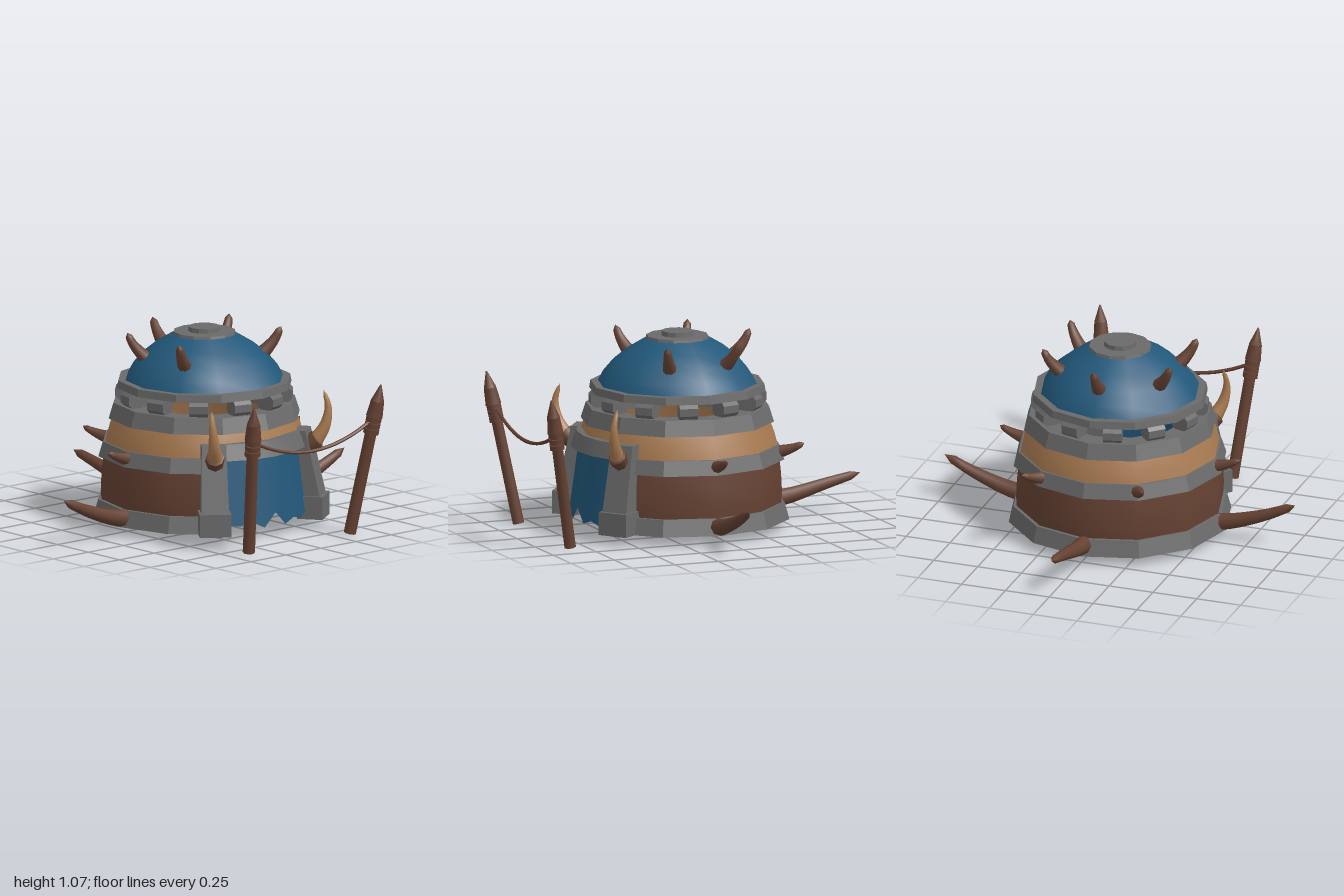
import * as THREE from 'three';
import { toCreasedNormals } from 'three/addons/utils/BufferGeometryUtils.js';

const mat = (name, color, side = THREE.DoubleSide) => {
  const m = new THREE.MeshStandardMaterial({ color, side });
  m.name = name;
  return m;
};
const V = (x, y, z) => new THREE.Vector3(x, y, z);
const DEG = Math.PI / 180;

export function createModel() {
  const stone = mat('grey stone', 0x6a6a6a);
  const blue = mat('blue cloth', 0x22587a);
  const wood = mat('brown wood', 0x664233);
  const tan = mat('tan hide', 0xa87a50);

  const model = new THREE.Group();
  model.name = 'hut';
  const hut = new THREE.Group();
  hut.name = 'hutParts';
  hut.position.set(-0.0125, 0, 0.066);
  model.add(hut);

  const add = (name, geo, material, parent = hut, crease = 0.4) => {
    const m = new THREE.Mesh(toCreasedNormals(geo, crease), material);
    m.name = name;
    parent.add(m);
    return m;
  };

  // Twelve-sided ring; door = true leaves the front two segments open
  const ring = (name, profile, material, door, crease) => {
    const pts = profile.map(([r, y]) => new THREE.Vector2(r, y));
    const geo = door
      ? new THREE.LatheGeometry(pts, 10, 30 * DEG, 300 * DEG)
      : new THREE.LatheGeometry(pts, 12);
    return add(name, geo, material, hut, crease);
  };
  const band = (r0, r1, y0, y1, inner) =>
    [[r0, y0], [r1, y1], [inner, y1], [inner, y0], [r0, y0]];

  // Tapered curved horn: a tube whose rings shrink towards a blunt tip
  const horn = (name, points, r0, r1, material, segs = 10) => {
    const curve = new THREE.CatmullRomCurve3(points);
    const geo = new THREE.TubeGeometry(curve, segs, 1, 8);
    const pos = geo.attributes.position;
    const p = new THREE.Vector3();
    for (let i = 0; i <= segs; i++) {
      const c = curve.getPointAt(i / segs);
      const r = i === segs ? 0.0005 : r0 + (r1 - r0) * (i / (segs - 1));
      for (let j = 0; j <= 8; j++) {
        const k = i * 9 + j;
        p.fromBufferAttribute(pos, k).sub(c).multiplyScalar(r).add(c);
        pos.setXYZ(k, p.x, p.y, p.z);
      }
    }
    return add(name, geo, material, hut, 0.9);
  };
  // Horn in a vertical plane at an angle round the hut, given [radius, y] pairs
  const radialHorn = (name, deg, path, r0, r1) =>
    horn(name, path.map(([r, y]) => V(Math.sin(deg * DEG) * r, y, Math.cos(deg * DEG) * r)), r0, r1, wood);

  // Walls and stone bands
  ring('baseBand', band(0.605, 0.58, 0.05, 0.14, 0.535), stone, true);
  ring('lowerWall', [[0.56, 0.12], [0.565, 0.2], [0.56, 0.3], [0.55, 0.39]], wood, true, 0.8);
  ring('middleBand', band(0.578, 0.552, 0.375, 0.455, 0.52), stone, true);
  ring('upperWall', [[0.545, 0.44], [0.525, 0.52], [0.495, 0.6]], tan, false, 0.8);
  ring('upperBand', band(0.522, 0.495, 0.58, 0.665, 0.39), stone);

  // Stubby blocks that carry the roof
  for (let i = 0; i < 12; i++) {
    const a = (15 + 30 * i) * DEG;
    const geo = new THREE.CylinderGeometry(0.054, 0.054, 0.1, 8);
    geo.rotateY(Math.PI / 8).rotateZ(Math.PI / 2);
    const block = add('roofBlock', geo, stone);
    block.position.set(Math.sin(a) * 0.425, 0.705, Math.cos(a) * 0.425);
    block.rotation.y = a;
  }

  // Roof
  ring('roofRim', band(0.477, 0.47, 0.745, 0.785, 0.4), stone);
  ring('dome', [[0.435, 0.775], [0.4, 0.84], [0.345, 0.905], [0.265, 0.97], [0.165, 1.03]], blue, false, 1);
  add('roofCap', new THREE.CylinderGeometry(0.167, 0.172, 0.018, 12), stone).position.y = 1.032;
  add('roofKnob', new THREE.CylinderGeometry(0.085, 0.088, 0.03, 12), stone).position.y = 1.05;
  for (const deg of [60, 120, 180, 240, 300])
    radialHorn('roofSpike', deg, [[0.28, 0.87], [0.345, 0.93], [0.39, 0.985], [0.42, 1.045]], 0.046, 0.02);

  // Small spikes on the middle band
  for (const deg of [90, 150, 210, 270])
    radialHorn('wallSpike', deg, [[0.5, 0.405], [0.58, 0.425], [0.64, 0.446], [0.685, 0.468]], 0.044, 0.016);

  // Large ground horns
  for (const deg of [90, 270])
    radialHorn('groundHorn', deg, [[0.52, 0.085], [0.65, 0.11], [0.84, 0.175], [1.0, 0.25]], 0.052, 0.024);
  radialHorn('backHorn', 180, [[0.5, 0.095], [0.65, 0.115], [0.86, 0.165], [1.06, 0.21]], 0.052, 0.024);

  // Door lintel following the wall
  const lintelProfile = band(0.575, 0.545, 0.445, 0.53, 0.46).map(([r, y]) => new THREE.Vector2(r, y));
  add('doorLintel', new THREE.LatheGeometry(lintelProfile, 4, -32 * DEG, 64 * DEG), stone);

  // Ragged door curtain
  const hem = [0.095, 0.085, 0.1, 0.065, 0.14, 0.065, 0.09, 0.07, 0.1];
  const cloth = new THREE.PlaneGeometry(1, 1, 8, 3);
  const cp = cloth.attributes.position;
  for (let i = 0; i < cp.count; i++) {
    const u = cp.getX(i) + 0.5, t = 0.5 - cp.getY(i);
    const a = (u - 0.5) * 58 * DEG;
    const r = 0.53 + 0.05 * t;
    cp.setXYZ(i, Math.sin(a) * r, 0.46 + (hem[Math.round(u * 8)] - 0.46) * t, Math.cos(a) * r);
  }
  add('doorCurtain', cloth, blue, hut, 0.6);

  for (const s of [-1, 1]) {
    // Door post with its foot
    const post = new THREE.Group();
    post.name = s > 0 ? 'leftDoorPost' : 'rightDoorPost';
    post.rotation.y = s * 36 * DEG;
    hut.add(post);
    add('postFoot', new THREE.BoxGeometry(0.17, 0.125, 0.14), stone, post).position.set(0, 0.113, 0.6);
    const shaft = new THREE.BoxGeometry(0.15, 0.4, 0.11);
    const sp = shaft.attributes.position;
    for (let i = 0; i < sp.count; i++) {
      const t = sp.getY(i) / 0.4 + 0.5;
      sp.setX(i, sp.getX(i) * (1 - 0.12 * t));
      sp.setZ(i, sp.getZ(i) + 0.605 - 0.09 * t);
    }
    add('postShaft', shaft, stone, post).position.y = 0.33;

    // Horn in a wooden socket on the post
    horn('hornSocket', [V(s * 0.29, 0.41, 0.40), V(s * 0.33, 0.44, 0.46), V(s * 0.375, 0.49, 0.515)],
      0.06, 0.05, wood, 8);
    horn('doorHorn', [V(s * 0.355, 0.465, 0.495), V(s * 0.395, 0.55, 0.53), V(s * 0.412, 0.65, 0.538),
      V(s * 0.4, 0.74, 0.515)], 0.042, 0.012, tan);

    // Leaning spear
    const foot = V(s * 0.36, 0.006, 0.772), tip = V(s * 0.452, 0.83, 0.92);
    const len = foot.distanceTo(tip);
    const spear = new THREE.Group();
    spear.name = s > 0 ? 'leftSpear' : 'rightSpear';
    spear.position.copy(foot);
    spear.quaternion.setFromUnitVectors(V(0, 1, 0), tip.clone().sub(foot).normalize());
    hut.add(spear);
    const part = (name, r1, r0, y0, y1) =>
      add(name, new THREE.CylinderGeometry(r1, r0, y1 - y0, 8), wood, spear, 0.9).position.y = (y0 + y1) / 2;
    part('spearShaft', 0.031, 0.033, 0, 0.67);
    for (let k = 0; k < 3; k++) part('spearBinding', 0.042, 0.042, 0.565 + k * 0.034, 0.593 + k * 0.034);
    part('spearHeadBase', 0.036, 0.045, 0.66, 0.75);
    part('spearHeadTip', 0.004, 0.036, 0.75, len);
  }

  // Rope sagging between the spears
  const rope = new THREE.CatmullRomCurve3([-1, -0.75, -0.4, 0, 0.4, 0.75, 1]
    .map((u) => V(u * 0.425, 0.525 + 0.11 * u * u, 0.878)));
  add('rope', new THREE.TubeGeometry(rope, 16, 0.01, 6), wood, hut, 1);

  return model;
}
